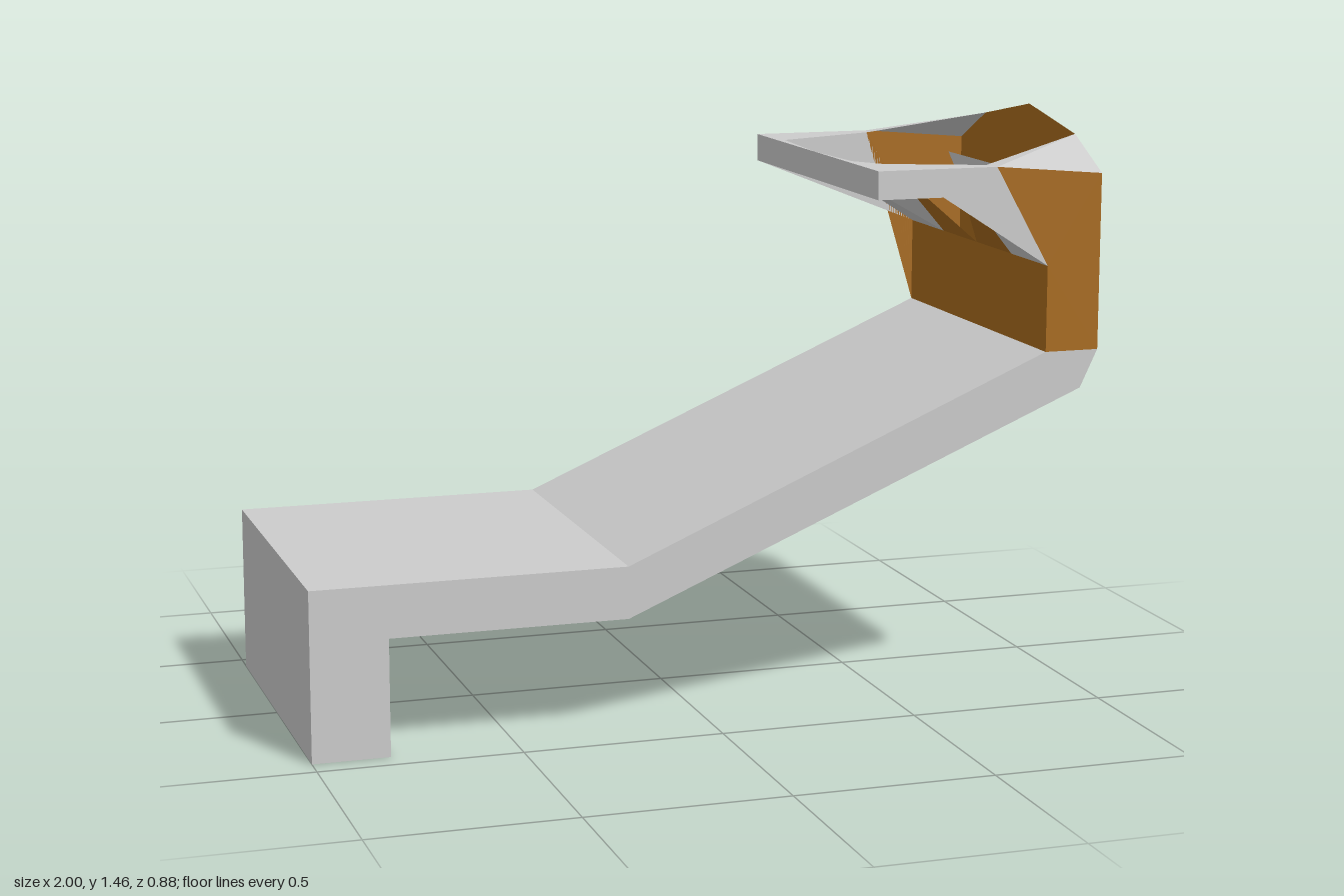
import * as THREE from 'three';

const grey = new THREE.MeshStandardMaterial({ color: 0xcccccc, flatShading: true, side: THREE.DoubleSide });
const brown = grey.clone();
brown.color.set(0xa86b1d);

// Flat panel, filled as a fan from its first corner
function panel(name, material, points) {
  const corners = [];
  for (let i = 1; i < points.length - 1; i++) {
    corners.push(...points[0], ...points[i], ...points[i + 1]);
  }
  const geometry = new THREE.BufferGeometry();
  geometry.setAttribute('position', new THREE.Float32BufferAttribute(corners, 3));
  geometry.computeVertexNormals();
  const mesh = new THREE.Mesh(geometry, material);
  mesh.name = name;
  return mesh;
}

export function createModel() {
  const model = new THREE.Group();
  const W = 0.44; // half width
  const TOP = 1.35, LOW = 1.28, NECK = 1.1, SEAT = 0.885;

  // Bent base plate with a foot at one end
  const profile = [[-1, 0], [-0.81, 0], [-0.81, 0.29], [-0.22, 0.29], [0.955, 0.79],
    [1, SEAT], [0.86, SEAT], [-0.22, 0.42], [-1, 0.42]];
  const shape = new THREE.Shape(profile.map(([x, y]) => new THREE.Vector2(x, y)));
  const base = new THREE.Mesh(
    new THREE.ExtrudeGeometry(shape, { depth: 2 * W, bevelEnabled: false }).translate(0, 0, -W), grey);
  base.name = 'basePlate';
  model.add(base);

  // Upright back: outer sheet with a peaked top, inner sheet and floor
  model.add(panel('outerWall', brown, [
    [1, SEAT, W], [1, SEAT, -W], [1, 1.325, -W], [1, 1.405, -0.28],
    [1, 1.455, 0], [1, 1.405, 0.28], [1, 1.325, W]]));
  model.add(panel('innerWall', brown, [
    [0.86, SEAT, -W], [0.86, SEAT, W], [0.86, NECK, W], [0.86, NECK, -W]]));
  model.add(panel('wallFloor', brown, [
    [0.86, SEAT + 0.002, W], [1, SEAT + 0.002, W], [1, SEAT + 0.002, -W], [0.86, SEAT + 0.002, -W]]));

  // Front lip of the holder
  model.add(panel('frontLip', grey, [
    [0.41, LOW, -W], [0.41, LOW, W], [0.41, TOP, W], [0.41, TOP, -W]]));

  // Small tab at the back of the hole
  model.add(panel('holeTab', grey, [[0.87, 1.13, 0], [0.84, 1.32, 0.15], [0.84, 1.32, -0.15]]));

  // Panels repeated on both sides
  for (const s of [1, -1]) {
    const add = (name, material, points) => {
      const placed = points.map(([x, y, z]) => [x, y, z * s]);
      model.add(panel(name, material, s > 0 ? placed : placed.reverse()));
    };
    // Side cheeks
    add('wallSide', brown, [
      [0.86, NECK, W], [0.86, SEAT, W], [1, SEAT, W], [1, 1.325, W], [0.72, TOP, W]]);
    add('holderSide', grey, [
      [0.58, LOW, W], [0.86, NECK, W], [0.72, TOP, W], [0.41, TOP, W], [0.41, LOW, W]]);
    // Top rim around the eight-sided opening
    add('topFront', grey, [[0.41, TOP, 0], [0.41, TOP, W], [0.43, TOP, 0.28]]);
    add('topSide', grey, [[0.43, TOP, 0.28], [0.41, TOP, W], [0.72, TOP, W], [0.71, TOP, 0.395]]);
    add('topRearInner', grey, [[0.71, TOP, 0.395], [0.72, TOP, W], [1, 1.405, 0.28]]);
    add('topRearCorner', grey, [[0.72, TOP, W], [1, 1.325, W], [1, 1.405, 0.28]]);
    // Lower plate around the hole; the front and mid pieces share the hole corner
    add('lowerFront', grey, [[0.54, LOW, 0.165], [0.46, LOW, 0], [0.41, LOW, 0], [0.41, LOW, W]]);
    add('lowerSide', grey, [[0.54, LOW, 0.165], [0.41, LOW, W], [0.58, LOW, W], [0.71, LOW, 0.24]]);
    // Slope down to the inner wall
    add('slopeOuter', grey, [[0.71, LOW, 0.24], [0.58, LOW, W], [0.86, NECK, W], [0.86, NECK, 0.22]]);
    add('slopeInner', brown, [[0.71, LOW, 0.24], [0.86, NECK, 0.22], [0.86, NECK, 0]]);
  }
  return model;
}
